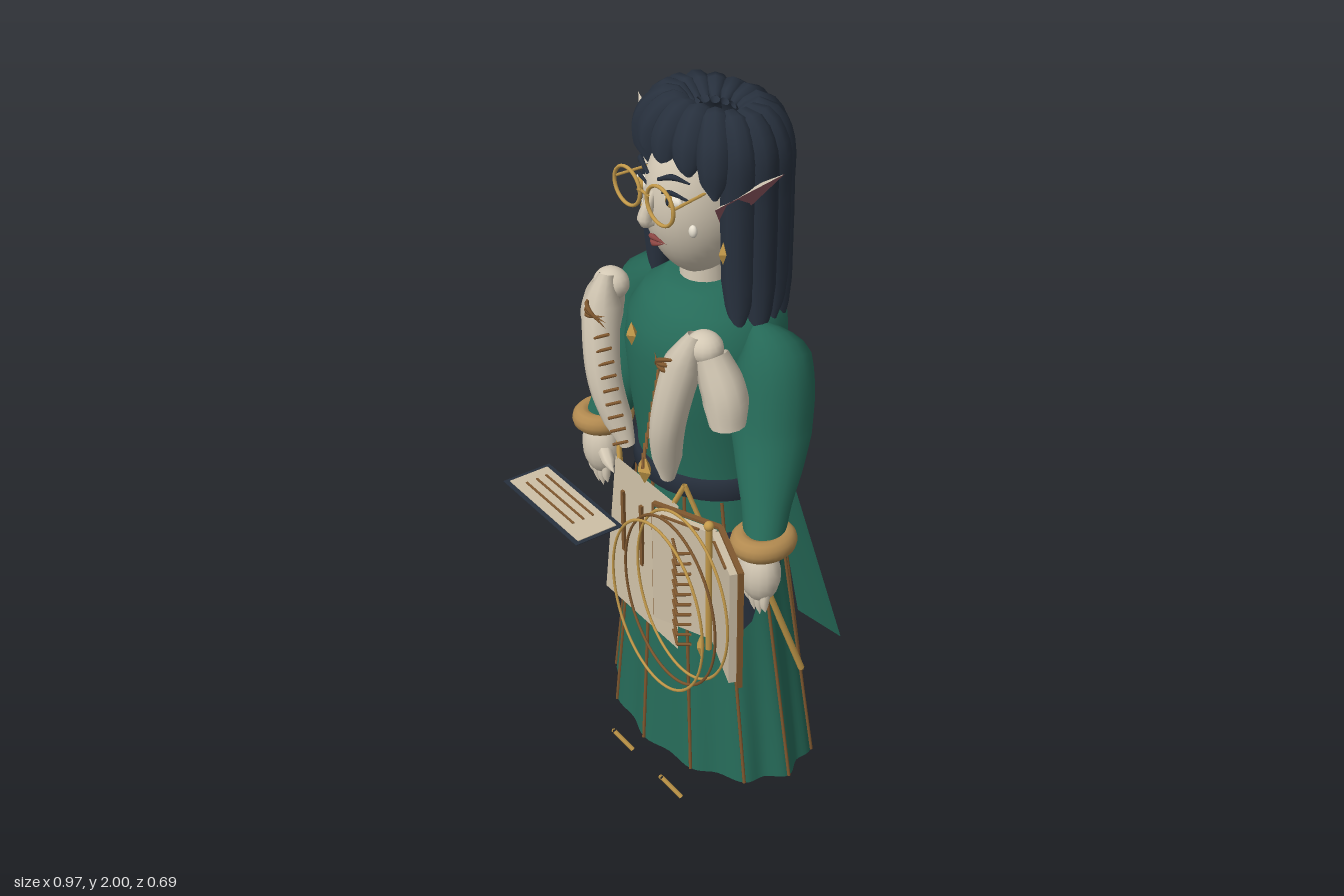
import * as THREE from 'three';

const mat = (name, color, side = THREE.DoubleSide) => {
  const m = new THREE.MeshStandardMaterial({ color, side });
  m.name = name;
  return m;
};
const M = {
  green: mat('greenCloth', 0x266b59), navy: mat('navy', 0x27303d), skin: mat('paleSkin', 0xd3c8b4),
  paper: mat('parchment', 0xcdbfa6), gold: mat('gold', 0xc49a4a), bronze: mat('bronze', 0x80582f),
  cuff: mat('cuffTan', 0xb28a50), pink: mat('earPink', 0x84505a), lip: mat('lipRed', 0x8c4643),
  white: mat('eyeWhite', 0xe9e2d2),
};
const CX = -0.047; // the figure stands slightly right of the centre
const V = (p) => new THREE.Vector3(...p);
const TAU = Math.PI * 2;

function add(parent, name, geo, material, pos = [0, 0, 0], scale = [1, 1, 1], rot = [0, 0, 0]) {
  const m = new THREE.Mesh(geo, material);
  m.name = name;
  m.position.set(...pos);
  m.scale.set(...scale);
  m.rotation.set(...rot);
  parent.add(m);
  return m;
}
const box = (p, n, m, size, pos) => add(p, n, new THREE.BoxGeometry(...size), m, pos);
const ball = (p, n, m, size, pos) => add(p, n, new THREE.SphereGeometry(1, 16, 12), m, pos, size);
const gem = (p, n, m, size, pos) => add(p, n, new THREE.OctahedronGeometry(1), m, pos, size);

// Round tube along points; radii are spread evenly along its length
function limb(p, name, m, pts, radii, segs = 24, sides = 12) {
  const curve = new THREE.CatmullRomCurve3(pts.map(V));
  const geo = new THREE.TubeGeometry(curve, segs, 1, sides);
  const pos = geo.attributes.position, v = new THREE.Vector3();
  for (let i = 0; i <= segs; i++) {
    const c = curve.getPointAt(i / segs), f = (i / segs) * (radii.length - 1);
    const k = Math.min(Math.floor(f), radii.length - 2);
    const r = THREE.MathUtils.lerp(radii[k], radii[k + 1], f - k);
    for (let j = 0; j <= sides; j++) {
      const n = i * (sides + 1) + j;
      v.fromBufferAttribute(pos, n).sub(c).multiplyScalar(r).add(c);
      pos.setXYZ(n, v.x, v.y, v.z);
    }
  }
  return add(p, name, geo, m);
}
// Thin straight rods through a list of points
function rods(p, name, m, pts, r = 0.006) {
  for (let i = 1; i < pts.length; i++)
    add(p, name, new THREE.TubeGeometry(new THREE.LineCurve3(V(pts[i - 1]), V(pts[i])), 1, r, 6), m);
}
// Flat polygon
function sheet(p, name, m, pts) {
  const geo = new THREE.BufferGeometry().setFromPoints(pts.map(V));
  const idx = [];
  for (let i = 2; i < pts.length; i++) idx.push(0, i - 1, i);
  geo.setIndex(idx);
  geo.computeVertexNormals();
  return add(p, name, geo, m);
}
// Grid surface from a function of column and row
function surface(p, name, m, cols, rows, fn, closed = true) {
  const n = closed ? cols : cols + 1, pos = [], idx = [];
  for (let i = 0; i <= rows; i++) for (let j = 0; j < n; j++) pos.push(...fn(j / cols, i / rows));
  for (let i = 0; i < rows; i++) for (let j = 0; j < cols; j++) {
    const a = i * n + j, b = i * n + ((j + 1) % n);
    idx.push(a, b, b + n, a, b + n, a + n);
  }
  const geo = new THREE.BufferGeometry();
  geo.setAttribute('position', new THREE.Float32BufferAttribute(pos, 3));
  geo.setIndex(idx);
  geo.computeVertexNormals();
  return add(p, name, geo, m);
}
// Elliptical rings [y, halfWidth, halfDepth, centreZ], bottom to top
const loft = (p, name, m, rings) => surface(p, name, m, 40, rings.length - 1, (u, t) => {
  const [y, w, d, z] = rings[Math.round(t * (rings.length - 1))];
  return [Math.sin(u * TAU) * w, y, Math.cos(u * TAU) * d + z];
});
// Point on the pleated skirt
function skirt(a, y, off = 0) {
  const k = 1 - (y - 0.11) / 0.89, f = 1 + 0.035 * k * (Math.cos(12 * a) - 1);
  return [Math.sin(a) * ((0.205 + 0.157 * k) * f + off), y, Math.cos(a) * ((0.165 + 0.068 * k) * f + off) - 0.05 - 0.02 * k];
}

function buildClothes(g) {
  surface(g, 'skirt', M.green, 120, 8, (u, t) => skirt(u * TAU, 0.11 + 0.89 * t));
  for (let i = 0; i < 12; i++) {
    const a = (i * TAU) / 12;
    rods(g, 'skirtSeam', M.bronze, [skirt(a, 0.112, 0.002), skirt(a, 0.97, 0.002)], 0.005);
  }
  loft(g, 'bodice', M.green, [[0.96, 0.205, 0.165, -0.05], [1.05, 0.195, 0.168, -0.05], [1.2, 0.205, 0.19, -0.05],
    [1.34, 0.22, 0.2, -0.05], [1.42, 0.215, 0.19, -0.055], [1.48, 0.175, 0.16, -0.06], [1.515, 0.12, 0.115, -0.055],
    [1.53, 0.105, 0.1, -0.05], [1.53, 0.03, 0.03, -0.05]]);
  loft(g, 'belt', M.navy, [[0.975, 0.2, 0.16, -0.05], [0.975, 0.215, 0.178, -0.05], [1.03, 0.21, 0.178, -0.05], [1.03, 0.19, 0.16, -0.05]]);
  gem(g, 'buckle', M.gold, [0.028, 0.045, 0.02], [0, 1.015, 0.145]);
  gem(g, 'brooch', M.gold, [0.018, 0.033, 0.016], [0, 1.425, 0.175]);
  // Parchment apron
  sheet(g, 'apron', M.paper, [[-0.135, 0.985, 0.145], [-0.17, 0.545, 0.165], [0.172, 0.545, 0.165], [0.15, 0.985, 0.145]]);
  for (const x of [-0.085, 0, 0.085]) box(g, 'apronStripe', M.bronze, [0.011, 0.19, 0.008], [x, 0.81, 0.158]);

  for (const s of [-1, 1]) {
    limb(g, 'sleeve', M.green, [[s * 0.17, 1.45, -0.075], [s * 0.24, 1.38, -0.07], [s * 0.285, 1.2, -0.04], [s * 0.325, 1.06, 0], [s * 0.36, 0.95, 0.035]],
      [0.02, 0.1, 0.103, 0.1, 0.083, 0.062, 0.05], 28, 20);
    add(g, 'cuff', new THREE.TorusGeometry(0.053, 0.026, 12, 28).rotateX(Math.PI / 2), M.cuff, [s * 0.36, 0.957, 0.035], [1, 1.15, 1.12]);
    // Hand with fingers and thumb
    ball(g, 'palm', M.skin, [0.06, 0.085, 0.05], [s * 0.36, 0.865, 0.045]);
    for (let i = 0; i < 4; i++) {
      const x = s * (0.325 + i * 0.023);
      limb(g, 'finger', M.skin, [[x, 0.83, 0.05], [x, 0.785, 0.055], [x, i % 3 ? 0.735 : 0.755, 0.05]], [0.014, 0.013, 0.011, 0], 8, 8);
    }
    limb(g, 'thumb', M.skin, [[s * 0.32, 0.87, 0.06], [s * 0.285, 0.85, 0.07], [s * 0.262, 0.83, 0.07]], [0.022, 0.018, 0], 8, 8);
    // Bare shoulder and front lapel
    limb(g, 'shoulderPiece', M.skin, [[s * 0.275, 1.27, 0.085], [s * 0.265, 1.35, 0.088], [s * 0.22, 1.44, 0.095]], [0.045, 0.056, 0.054, 0.042], 14, 12);
    ball(g, 'shoulderBall', M.skin, [0.05, 0.042, 0.045], [s * 0.2, 1.455, 0.1]);
    limb(g, 'lapel', M.skin, [[s * 0.19, 1.49, 0.12], [s * 0.178, 1.42, 0.145], [s * 0.14, 1.23, 0.168], [s * 0.09, 1.04, 0.135]],
      [0.02, 0.05, 0.048, 0.046, 0.043, 0.038, 0.02], 24, 12);
    for (let i = 0; i < 9; i++) {
      const x = 0.125 - i * 0.009, y = 1.36 - i * 0.035;
      rods(g, 'lapelStitch', M.bronze, [[s * (x - 0.018), y + 0.012, 0.172], [s * (x + 0.014), y - 0.006, 0.195]], 0.0045);
    }
    for (let i = 0; i < 3; i++)
      limb(g, 'shoulderCord', M.bronze, [[s * 0.21, 1.4 + i * 0.018, 0.15], [s * 0.16, 1.412 + i * 0.012, 0.2], [s * 0.105, 1.425 - i * 0.018, 0.18]], [0, 0.007, 0], 10, 6);
    // Hip pocket with jagged hem
    const hem = [0.7, 0.58, 0.62, 0.74, 0.7, 0.8];
    surface(g, 'hipPocket', M.navy, 5, 1, (u, t) => skirt(s * (0.85 + u * 1.15), t ? 0.89 : hem[Math.round(u * 5)], 0.012), false);
    // Gold hip straps
    rods(g, 'hipStrap', M.gold, [[s * 0.2, 0.88, 0.085], [s * 0.15, 1.04, 0.125], [s * 0.125, 0.98, 0.14]], 0.007);
    rods(g, 'sheath', M.gold, [skirt(s * 1.32, 0.86, 0.02), skirt(s * 1.98, 0.41, 0.022)], 0.009);
    rods(g, 'sheath', M.gold, [skirt(s * 1.32, 0.86, 0.02), skirt(s * 0.98, 0.58, 0.02)], 0.007);
    // Coat tail
    sheet(g, 'coatTail', M.green, [[s * 0.03, 1.02, -0.222], [s * 0.19, 1.02, -0.17], [s * 0.275, 0.43, -0.31], [s * 0.045, 0.36, -0.345]]);
    // Boot and floating toe chevron
    add(g, 'boot', new THREE.CylinderGeometry(0.078, 0.08, 0.36, 20), M.navy, [s * 0.12, 0.225, -0.035], [1, 1, 1.06]);
    rods(g, 'toeTrim', M.gold, [[s * 0.12 - 0.05, 0.008, 0.157], [s * 0.12, 0.055, 0.185], [s * 0.12 + 0.05, 0.008, 0.157]], 0.007);
  }
}

function buildHead(g) {
  add(g, 'neck', new THREE.CylinderGeometry(0.055, 0.065, 0.14, 18), M.skin, [0, 1.56, -0.045]);
  const skull = new THREE.SphereGeometry(1, 32, 24), p = skull.attributes.position;
  for (let i = 0; i < p.count; i++) {
    const y = p.getY(i), f = y < 0 ? 1 - 0.12 * y * y : 1;
    p.setXYZ(i, p.getX(i) * f, y, p.getZ(i) * f);
  }
  skull.computeVertexNormals();
  add(g, 'head', skull, M.skin, [0, 1.74, -0.03], [0.124, 0.2, 0.143]);
  limb(g, 'nose', M.skin, [[0, 1.79, 0.1], [0, 1.74, 0.125], [0, 1.715, 0.128], [0, 1.705, 0.1]], [0.006, 0.014, 0.02, 0.008], 12, 10);
  limb(g, 'upperLip', M.lip, [[-0.036, 1.657, 0.094], [0, 1.668, 0.108], [0.036, 1.657, 0.094]], [0, 0.008, 0], 12, 8);
  limb(g, 'lowerLip', M.lip, [[-0.028, 1.655, 0.095], [0, 1.65, 0.105], [0.028, 1.655, 0.095]], [0, 0.008, 0], 12, 8);
  rods(g, 'glassesBridge', M.gold, [[-0.022, 1.79, 0.133], [0, 1.797, 0.138], [0.022, 1.79, 0.133]], 0.004);
  for (const s of [-1, 1]) {
    ball(g, 'eye', M.white, [0.034, 0.018, 0.014], [s * 0.06, 1.782, 0.09]);
    ball(g, 'iris', M.gold, [0.015, 0.016, 0.008], [s * 0.06, 1.782, 0.1]);
    ball(g, 'pupil', M.navy, [0.006, 0.01, 0.004], [s * 0.06, 1.782, 0.106]);
    limb(g, 'eyelid', M.navy, [[s * 0.026, 1.79, 0.1], [s * 0.06, 1.804, 0.1], [s * 0.098, 1.79, 0.075]], [0.003, 0.006, 0.003], 10, 6);
    limb(g, 'eyebrow', M.navy, [[s * 0.022, 1.825, 0.105], [s * 0.065, 1.843, 0.095], [s * 0.1, 1.832, 0.07]], [0.005, 0.008, 0.002], 10, 6);
    ball(g, 'cheekBead', M.white, [0.012, 0.016, 0.01], [s * 0.098, 1.707, 0.06]);
    add(g, 'glassesRim', new THREE.TorusGeometry(0.054, 0.005, 8, 32), M.gold, [s * 0.068, 1.782, 0.133], [1, 0.88, 1]);
    rods(g, 'glassesTemple', M.gold, [[s * 0.118, 1.79, 0.133], [s * 0.1, 1.8, 0.01]], 0.004);
    gem(g, 'earring', M.gold, [0.013, 0.03, 0.013], [s * 0.163, 1.664, 0.02]);
    // Pointed ear: pale above, pink inside
    const tip = [s * 0.293, 1.897, -0.055], low = [s * 0.13, 1.7, -0.005], fore = [s * 0.15, 1.775, 0.035], back = [s * 0.14, 1.8, -0.05];
    sheet(g, 'earTop', M.skin, [fore, tip, back]);
    sheet(g, 'earInner', M.pink, [low, tip, fore]);
    sheet(g, 'earBack', M.pink, [low, back, tip]);
  }
  // Hair locks fan out from an open crown
  const N = 16;
  for (let i = 0; i < N; i++) {
    const a = (i * TAU) / N, d = Math.min(i, N - i);
    const at = (r, y) => [Math.sin(a) * 0.17 * r, y, Math.cos(a) * 0.125 * r - 0.075];
    if (d < 3) {
      limb(g, 'fringeLock', M.navy, [at(0.42, 1.945), at(0.72, 1.962), at(1.02, 1.92), at(1.12, 1.87), at(1.1, d === 2 ? 1.79 : 1.835)],
        [0.012, 0.036, 0.043, 0.045, 0.036, 0.006], 18, 10);
    } else {
      const end = 1.37 + (d === 3 ? 0.06 : (i % 3) * 0.03);
      limb(g, 'longLock', M.navy, [at(0.42, 1.945), at(0.75, 1.962), at(1, 1.91), at(1.03, 1.78), at(1.04, 1.6), at(1.08, end)],
        [0.012, 0.04, 0.045, 0.045, 0.045, 0.044, 0.042, 0.032, 0.004], 28, 10);
    }
  }
}

function buildBook(root) {
  const g = new THREE.Group();
  g.name = 'openBook';
  g.position.set(0.298, 0.865, 0.157);
  root.add(g);
  for (const s of [-1, 1]) {
    const half = new THREE.Group();
    half.name = 'bookHalf';
    half.rotation.y = -s * 0.385;
    g.add(half);
    box(half, 'cover', M.green, [0.19, 0.34, 0.01], [s * 0.097, 0, 0]);
    box(half, 'page', M.paper, [0.178, 0.33, 0.02], [s * 0.095, 0, 0.015]);
    for (const k of [-1, 1]) box(half, 'coverRim', M.bronze, [0.196, 0.008, 0.014], [s * 0.097, k * 0.172, 0]);
    box(half, 'coverRim', M.bronze, [0.008, 0.35, 0.014], [s * 0.193, 0, 0]);
    box(half, 'pageEdge', M.bronze, [0.11, 0.005, 0.006], [s * 0.1, 0.165, 0.028]);
  }
  rods(g, 'spine', M.gold, [[0, -0.19, 0.035], [0, 0.19, 0.035]], 0.009);
  gem(g, 'spineGem', M.gold, [0.015, 0.035, 0.012], [0, -0.17, 0.06]);
  ball(g, 'spineBead', M.gold, [0.013, 0.013, 0.013], [0, 0.19, 0.035]);
  for (let i = 0; i < 10; i++) {
    const y = -0.13 + i * 0.031;
    rods(g, 'binding', M.bronze, [[-0.037, y + 0.017, 0.117], [0, y, 0.132], [0.037, y + 0.017, 0.117]], 0.004);
  }
  // Three floating hoops
  [0.113, 0.15, 0.187].forEach((z, i) =>
    add(g, 'hoop', new THREE.TorusGeometry(0.19, 0.0035, 6, 64), i === 1 ? M.bronze : M.gold, [-0.007, 0.01, z], [1, 1.23, 1]));
}

function buildTablet(root) {
  const g = new THREE.Group();
  g.name = 'tablet';
  g.position.set(-0.278, 0.825, 0.257);
  root.add(g);
  box(g, 'tabletBack', M.navy, [0.366, 0.002, 0.146], [0, -0.002, 0]);
  box(g, 'tabletSheet', M.paper, [0.342, 0.002, 0.12], [0, 0, 0]);
  for (const z of [-0.034, -0.004, 0.028]) box(g, 'tabletLine', M.bronze, [0.235, 0.004, 0.006], [-0.018, 0.002, z]);
}

export function createModel() {
  const root = new THREE.Group();
  root.name = 'elfScholar';
  const figure = new THREE.Group();
  figure.name = 'figure';
  figure.position.x = CX;
  root.add(figure);
  buildClothes(figure);
  buildHead(figure);
  buildBook(root);
  buildTablet(root);
  return root;
}
